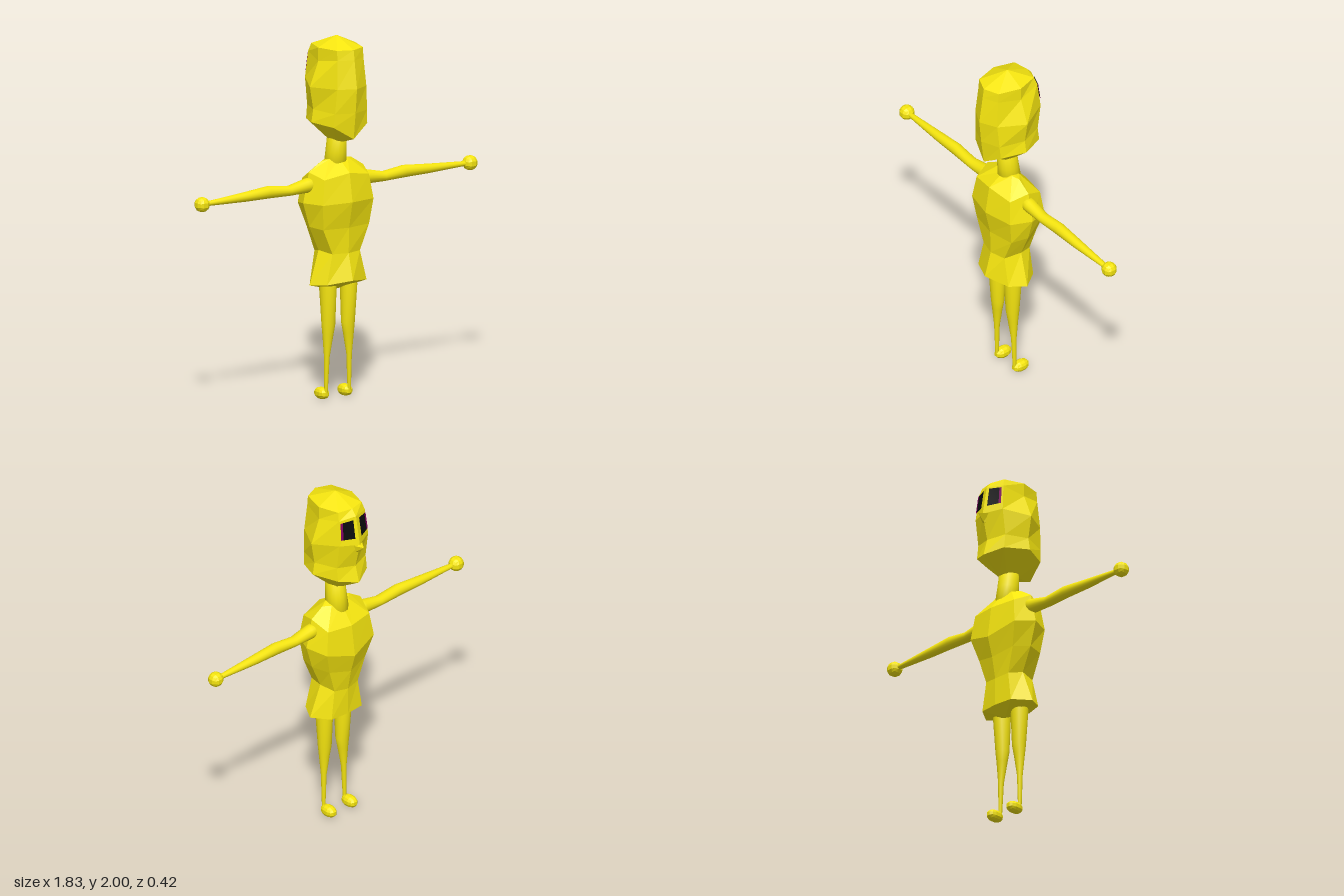
import * as THREE from 'three';

const skin = new THREE.MeshStandardMaterial({ color: 0xf5e50f, flatShading: true });
const smoothSkin = new THREE.MeshStandardMaterial({ color: 0xf5e50f });
const dark = new THREE.MeshStandardMaterial({ color: 0x0a0a0c, side: THREE.DoubleSide });
const purple = new THREE.MeshStandardMaterial({ color: 0x800060, side: THREE.DoubleSide });

// Skin over rings listed from top to bottom, closed at both ends
function loft(rings, top, bottom) {
  const n = rings[0].length, last = (rings.length - 1) * n, index = [];
  const pts = [...rings.flat(), top, bottom];
  for (let j = 0; j < n; j++) {
    const k = (j + 1) % n;
    for (let i = 0; i < last; i += n) {
      index.push(i + j, i + n + j, i + k, i + k, i + n + j, i + n + k);
    }
    index.push(pts.length - 2, j, k, pts.length - 1, last + k, last + j);
  }
  const g = new THREE.BufferGeometry();
  g.setAttribute('position', new THREE.Float32BufferAttribute(pts.flat(), 3));
  g.setIndex(index);
  g.computeVertexNormals();
  return g;
}

// Half section running from +z to -z, completed across x = 0
const mirrored = (h) => [...h, ...h.slice(1, -1).reverse().map(([x, y, z]) => [-x, y, z])];

// Round limb; each row: y, centre x, radius x, centre z, radius z
function limb(rows, sides = 16) {
  const rings = rows.map(([y, cx, rx, cz, rz]) => Array.from({ length: sides }, (_, i) => {
    const a = (i / sides) * Math.PI * 2;
    return [cx + rx * Math.sin(a), y, cz + rz * Math.cos(a)];
  }));
  const cap = ([y, cx, , cz]) => [cx, y, cz];
  return loft(rings, cap(rows[0]), cap(rows[rows.length - 1]));
}

// Faceted ball made from a subdivided cube
function ball(rx, ry, rz) {
  const g = new THREE.BoxGeometry(2, 2, 2, 3, 3, 3);
  const p = g.attributes.position, v = new THREE.Vector3();
  for (let i = 0; i < p.count; i++) {
    v.fromBufferAttribute(p, i).normalize();
    p.setXYZ(i, v.x * rx, v.y * ry, v.z * rz);
  }
  return g;
}

export function createModel() {
  const model = new THREE.Group();
  const add = (name, geometry, material = skin) => {
    const m = new THREE.Mesh(geometry, material);
    m.name = name;
    model.add(m);
    return m;
  };

  // Head
  const head = [
    [[0, 1.945, 0.175], [0.085, 1.945, 0.14], [0.12, 1.945, 0.015], [0.085, 1.945, -0.1], [0, 1.945, -0.118]],
    [[0, 1.89, 0.183], [0.085, 1.89, 0.145], [0.12, 1.87, 0.015], [0.095, 1.9, -0.115], [0, 1.91, -0.148]],
    [[0, 1.735, 0.206], [0.095, 1.735, 0.158], [0.175, 1.735, 0.015], [0.105, 1.755, -0.13], [0, 1.745, -0.178]],
    [[0, 1.6, 0.193], [0.105, 1.6, 0.15], [0.153, 1.61, 0.015], [0.105, 1.61, -0.11], [0, 1.6, -0.145]],
    [[0, 1.455, 0.175], [0.11, 1.525, 0.145], [0.165, 1.54, 0.015], [0.105, 1.53, -0.12], [0, 1.505, -0.172]],
    [[0, 1.42, 0.065], [0.03, 1.425, 0.05], [0.045, 1.43, 0.01], [0.03, 1.43, -0.03], [0, 1.43, -0.05]],
  ];
  add('head', loft(head.map(mirrored), [0, 2, 0.015], [0, 1.405, 0.01]));

  // Nose wedge
  add('nose', loft([
    [[-0.035, 1.745, -0.155], [0.035, 1.745, -0.155], [0, 1.738, -0.21]],
    [[-0.02, 1.69, -0.15], [0.02, 1.69, -0.15], [0, 1.7, -0.172]],
  ], [0, 1.745, -0.17], [0, 1.693, -0.155]));

  // Eye panels laid on the two sloping face planes
  const [ft, fb] = [head[1][4], head[2][4]], [dt, db] = [head[1][3], head[2][3]];
  const onFace = (s, u, v) => {
    const mix = (a, b, t) => a.map((c, i) => c + (b[i] - c) * t);
    const [x, y, z] = mix(mix(ft, dt, u), mix(fb, db, u), v);
    return [s * (x + 0.002), y, z - 0.006];
  };
  const panel = (s, u0, u1, v0, v1) => {
    const g = new THREE.BufferGeometry();
    const c = [[u0, v0], [u1, v0], [u1, v1], [u0, v1]].flatMap(([u, v]) => onFace(s, u, v));
    g.setAttribute('position', new THREE.Float32BufferAttribute(c, 3));
    g.setIndex(s > 0 ? [0, 1, 2, 0, 2, 3] : [0, 2, 1, 0, 3, 2]);
    g.computeVertexNormals();
    return g;
  };

  // Neck
  add('neck', limb([[1.46, 0, 0.052, 0.02, 0.055], [1.36, 0, 0.056, 0.01, 0.06], [1.26, 0, 0.065, 0, 0.065]]), smoothSkin);

  // Torso with flared hem
  const torso = [
    [[0, 1.325, 0.04], [0.06, 1.325, 0.03], [0.1, 1.315, 0.01], [0.06, 1.315, -0.02], [0, 1.315, -0.03]],
    [[0, 1.262, 0.138], [0.145, 1.235, 0.11], [0.178, 1.265, 0.01], [0.15, 1.215, -0.09], [0, 1.21, -0.115]],
    [[0, 1.105, 0.164], [0.165, 1.1, 0.125], [0.215, 1.1, 0.01], [0.17, 1.08, -0.105], [0, 1.03, -0.14]],
    [[0, 0.96, 0.132], [0.15, 0.96, 0.105], [0.175, 0.965, 0.01], [0.13, 0.95, -0.08], [0, 0.92, -0.108]],
    [[0, 0.82, 0.128], [0.09, 0.82, 0.105], [0.115, 0.83, 0.01], [0.085, 0.81, -0.07], [0, 0.8, -0.085]],
    [[0, 0.675, 0.168], [0.13, 0.655, 0.11], [0.18, 0.645, 0.02], [0.11, 0.645, -0.075], [0, 0.645, -0.085]],
  ];
  add('torso', loft(torso.map(mirrored), [0, 1.335, 0.01], [0, 0.595, -0.01]));

  for (const s of [1, -1]) {
    const side = s > 0 ? 'left' : 'right';
    add(side + 'Eye', panel(s, 0.2, 0.8, 0.08, 0.75), dark);
    add(side + 'EyeEdge', panel(s, 0.8, 0.93, 0.08, 0.75), purple);

    // Arm, modelled hanging down and then swung out sideways
    const arm = limb([
      [-0.14, 1.197, 0.044, 0, 0.043], [-0.2, 1.194, 0.039, 0, 0.039], [-0.31, 1.181, 0.027, 0, 0.033],
      [-0.445, 1.191, 0.034, 0, 0.032], [-0.6, 1.185, 0.026, 0, 0.028], [-0.86, 1.18, 0.012, 0, 0.014],
    ]);
    arm.rotateZ(Math.PI / 2);
    if (s < 0) arm.rotateY(Math.PI);
    add(side + 'Arm', arm, smoothSkin).position.z = 0.01;
    add(side + 'Hand', ball(0.042, 0.042, 0.042)).position.set(s * 0.878, 1.18, 0.01);

    // Leg
    add(side + 'Leg', limb([
      [0.655, s * 0.068, 0.035, 0.03, 0.038], [0.63, s * 0.068, 0.047, 0.03, 0.05],
      [0.42, s * 0.064, 0.039, 0.03, 0.036], [0.36, s * 0.067, 0.031, 0.03, 0.028],
      [0.24, s * 0.073, 0.015, 0.028, 0.016], [0.04, s * 0.076, 0.009, 0.025, 0.01],
    ]), smoothSkin);
    add(side + 'Foot', ball(0.034, 0.034, 0.053)).position.set(s * 0.076, 0.034, -0.015);
  }
  return model;
}
